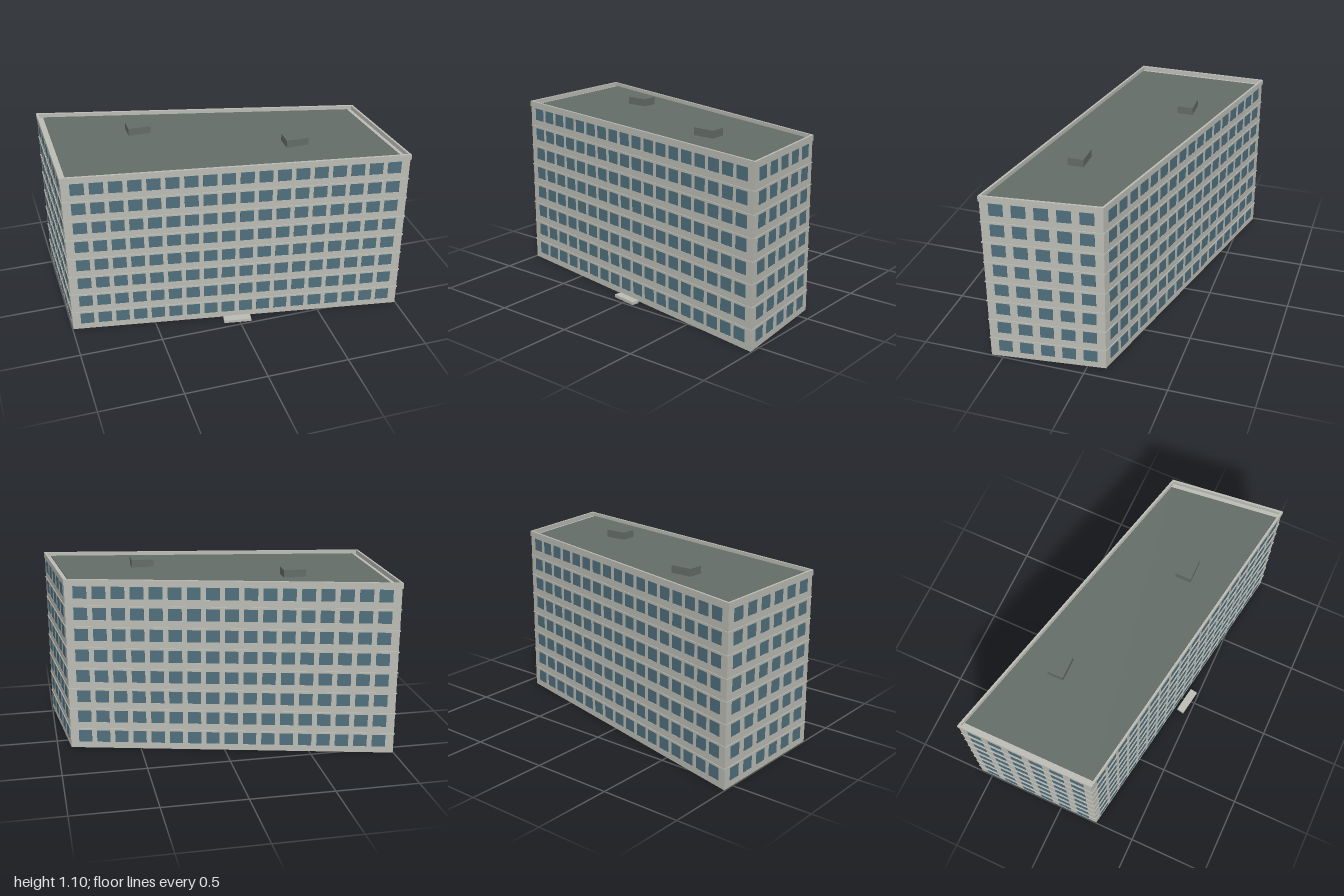
import * as THREE from 'three';

const FLOORS = 8, PITCH = 0.1307, WALL_TOP = 1.045;
// Outline of the block as [x, z]: front left, front right, back right, back left
const CORNERS = [[-1, 0.25], [1, 0.578], [0.922, -0.112], [-1, -0.58]];
const SIDES = [
  { name: 'front', windows: 18 },
  { name: 'right', windows: 5 },
  { name: 'back', windows: 17 },
  { name: 'left', windows: 6 },
];

const edge = (pts, i) => {
  const a = pts[i], b = pts[(i + 1) % 4];
  const dx = b[0] - a[0], dz = b[1] - a[1], length = Math.hypot(dx, dz);
  return { a, b, length, nx: -dz / length, nz: dx / length };
};

// Moves each side of the outline inwards by its own distance
function inset(d) {
  const lines = CORNERS.map((_, i) => {
    const e = edge(CORNERS, i);
    return { ...e, c: e.nx * e.a[0] + e.nz * e.a[1] - d[i] };
  });
  return lines.map((q, i) => {
    const p = lines[(i + 3) % 4];
    const det = p.nx * q.nz - p.nz * q.nx;
    return [(p.c * q.nz - q.c * p.nz) / det, (p.nx * q.c - q.nx * p.c) / det];
  });
}
const even = (d) => inset([d, d, d, d]);

// Upright prism over an outline, optionally hollow
function prism(outline, y, height, hole) {
  const toPoints = (pts) => pts.map(([x, z]) => new THREE.Vector2(x, -z));
  const shape = new THREE.Shape(toPoints(outline));
  if (hole) shape.holes.push(new THREE.Path(toPoints(hole)));
  const g = new THREE.ExtrudeGeometry(shape, { depth: height, bevelEnabled: false });
  return g.rotateX(-Math.PI / 2).translate(0, y, 0);
}

export function createModel() {
  const mat = (name, color) => {
    const m = new THREE.MeshStandardMaterial({ color });
    m.name = name;
    return m;
  };
  const concrete = mat('concrete', 0xbdbdb6);
  const glass = mat('glass', 0x50707d);
  const roofing = mat('roofing', 0x646d68);

  const model = new THREE.Group();
  model.name = 'officeBlock';
  const add = (parent, name, geometry, material) => {
    const m = new THREE.Mesh(geometry, material);
    m.name = name;
    parent.add(m);
    return m;
  };

  // Main body, floor ledges and parapet
  const walls = even(0.004);
  add(model, 'walls', prism(walls, 0, WALL_TOP), concrete);
  for (let f = 1; f <= FLOORS; f++) {
    add(model, 'floorLedge', prism(even(0), f * PITCH - 0.008, 0.006, even(0.008)), concrete);
  }
  add(model, 'parapet', prism(even(0), 1.043, 0.029, even(0.013)), concrete);

  // Roof surface, held back further from the two end walls
  add(model, 'roof', prism(inset([0.017, 0.04, 0.017, 0.04]), WALL_TOP, 0.006), roofing);
  for (const [x, z] of [[-0.44, -0.21], [0.417, 0.205]]) {
    const box = add(model, 'roofHatch', new THREE.BoxGeometry(0.136, 0.05, 0.096), roofing);
    box.position.set(x, 1.072, z);
  }

  // Windows and sills, laid out in each facade's own plane
  const pane = new THREE.BoxGeometry(0.081, 0.075, 0.004);
  const sill = new THREE.BoxGeometry(0.084, 0.003, 0.006);
  SIDES.forEach(({ name, windows }, i) => {
    const e = edge(walls, i);
    const facade = new THREE.Group();
    facade.name = name + 'Facade';
    facade.position.set((e.a[0] + e.b[0]) / 2, 0, (e.a[1] + e.b[1]) / 2);
    facade.rotation.y = Math.atan2(e.nx, e.nz);
    model.add(facade);
    const span = e.length - 0.181;
    for (let f = 0; f < FLOORS; f++) {
      for (let w = 0; w < windows; w++) {
        const x = span * (w / (windows - 1) - 0.5), y = 0.0775 + f * PITCH;
        add(facade, 'window', pane, glass).position.set(x, y, 0);
        add(facade, 'windowSill', sill, concrete).position.set(x, y - 0.039, 0);
      }
    }
  });

  // Entrance step, parallel to the front wall
  const front = edge(CORNERS, 0);
  const step = add(model, 'entranceStep', new THREE.BoxGeometry(0.168, 0.018, 0.048), concrete);
  step.position.set(-0.01, 0.009, 0.451);
  step.rotation.y = Math.atan2(front.nx, front.nz);

  return model;
}
